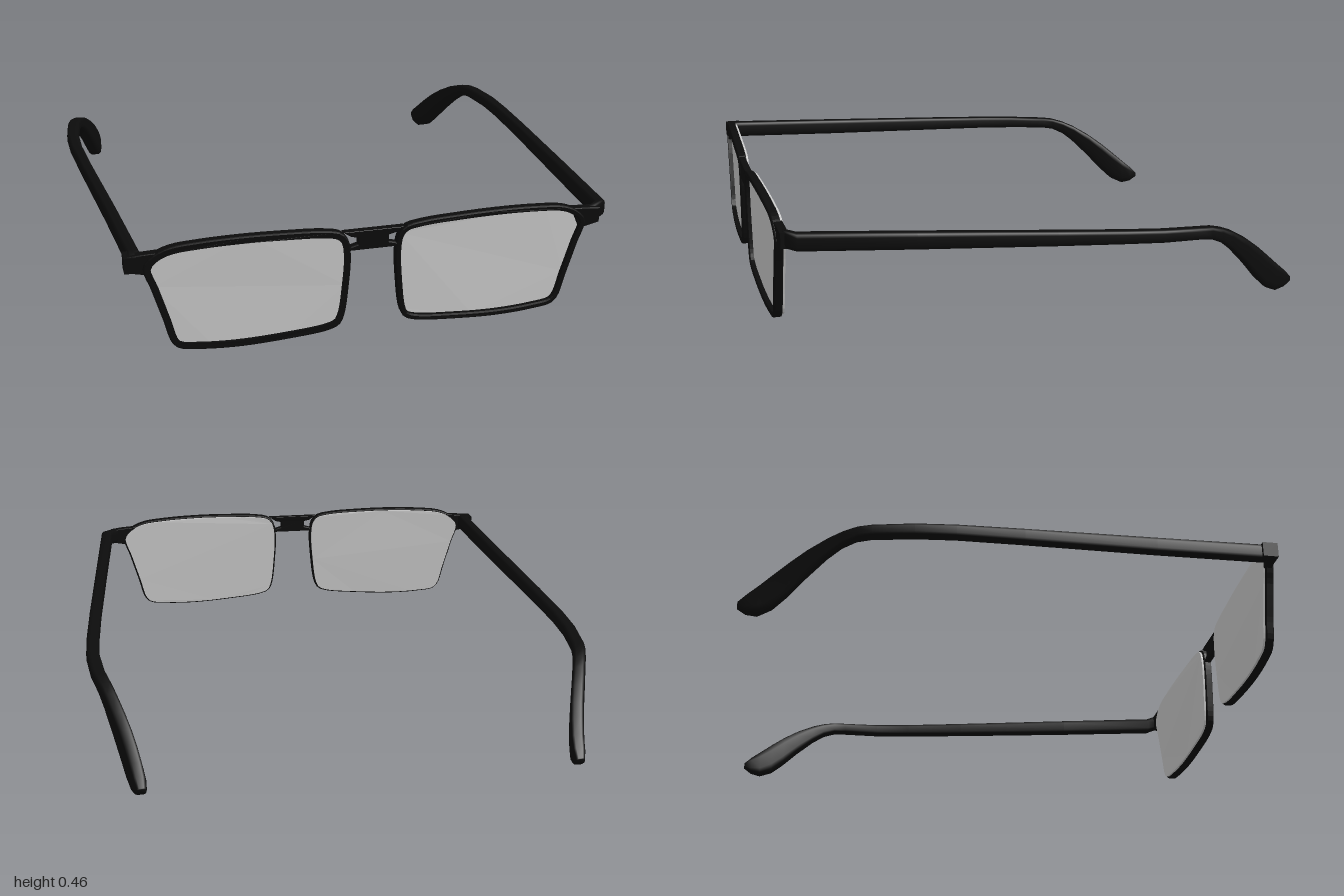
import * as THREE from 'three';

const black = new THREE.MeshStandardMaterial({ color: 0x0c0c0c, roughness: 0.9, side: THREE.DoubleSide });
const grey = new THREE.MeshStandardMaterial({ color: 0xcccccc, side: THREE.DoubleSide });

// Outer outline of the rim on the +x side, counter-clockwise
const RIM = [
  [0.07, 0.35], [0.076, 0.23], [0.092, 0.11], [0.108, 0.077], [0.145, 0.06], [0.3, 0.042], [0.47, 0.033],
  [0.6, 0.038], [0.68, 0.05], [0.704, 0.075], [0.73, 0.165], [0.765, 0.285], [0.79, 0.375], [0.755, 0.418],
  [0.7, 0.443], [0.6, 0.455], [0.45, 0.461], [0.3, 0.459], [0.17, 0.452], [0.105, 0.438], [0.08, 0.41],
];

// Temple stations: z, top, bottom, x on the right, x on the left, half width
const TEMPLE = [
  [0.95, 0.42, 0.357, -0.838, 0.82, 0.024],
  [0.91, 0.42, 0.355, -0.838, 0.868, 0.024],
  [0.5, 0.395, 0.332, -0.872, 0.892, 0.023],
  [0, 0.362, 0.307, -0.918, 0.92, 0.023],
  [-0.25, 0.345, 0.295, -0.938, 0.93, 0.024],
  [-0.4, 0.335, 0.287, -0.94, 0.93, 0.025],
  [-0.55, 0.325, 0.28, -0.925, 0.912, 0.026],
  [-0.6, 0.32, 0.273, -0.914, 0.9, 0.026],
  [-0.65, 0.306, 0.25, -0.899, 0.884, 0.026],
  [-0.7, 0.285, 0.21, -0.882, 0.867, 0.026],
  [-0.77, 0.244, 0.14, -0.858, 0.842, 0.027],
  [-0.83, 0.2, 0.073, -0.838, 0.82, 0.027],
  [-0.88, 0.158, 0.026, -0.824, 0.804, 0.027],
  [-0.93, 0.114, 0.003, -0.812, 0.79, 0.026],
  [-0.97, 0.08, 0.01, -0.806, 0.781, 0.024],
  [-1, 0.05, 0.03, -0.803, 0.776, 0.016],
];

// The frame front curves gently backwards towards its ends
function bend(geo) {
  const p = geo.attributes.position;
  for (let i = 0; i < p.count; i++) {
    p.setZ(i, p.getZ(i) - 0.022 * (p.getX(i) / 0.8) ** 2);
  }
  geo.computeVertexNormals();
  return geo;
}

function smoothLoop(points, n) {
  const curve = new THREE.CatmullRomCurve3(points.map(([x, y]) => new THREE.Vector3(x, y, 0)), true);
  return curve.getSpacedPoints(n).slice(0, n).map((v) => new THREE.Vector2(v.x, v.y));
}

// Moves a counter-clockwise loop inwards
function inset(loop, d) {
  const n = loop.length;
  return loop.map((p, i) => {
    const t = loop[(i + 1) % n].clone().sub(loop[(i + n - 1) % n]).normalize();
    return new THREE.Vector2(p.x - t.y * d, p.y + t.x * d);
  });
}

// The frame's mirror line lies slightly off the centre
const mirror = (loop) => loop.map((p) => new THREE.Vector2(-0.022 - p.x, p.y));

function slab(outline, hole, z, depth, bevel) {
  const shape = new THREE.Shape(outline);
  if (hole) shape.holes.push(new THREE.Path(hole));
  const geo = new THREE.ExtrudeGeometry(shape, {
    depth: depth - 2 * bevel, bevelEnabled: bevel > 0, bevelThickness: bevel,
    bevelSize: bevel, bevelOffset: -bevel, bevelSegments: 2,
  });
  return bend(geo.translate(0, 0, z + bevel));
}

// Rounded bar lofted through the temple stations
function templeGeometry(column) {
  const sides = 12, pos = [], index = [];
  for (const s of TEMPLE) {
    const cy = (s[1] + s[2]) / 2, h = (s[1] - s[2]) / 2;
    for (let j = 0; j < sides; j++) {
      const a = ((j + 0.5) / sides) * Math.PI * 2;
      const round = (v) => Math.sign(v) * Math.min(1, Math.abs(v) ** 0.5);
      pos.push(s[column] + s[5] * round(Math.cos(a)), cy + h * round(Math.sin(a)), s[0]);
    }
  }
  const last = (TEMPLE.length - 1) * sides;
  for (let i = 0; i < last; i += sides) {
    for (let j = 0; j < sides; j++) {
      const a = i + j, b = i + ((j + 1) % sides);
      index.push(a, a + sides, b, b, a + sides, b + sides);
    }
  }
  for (let j = 1; j < sides - 1; j++) {
    index.push(0, j, j + 1, last, last + j + 1, last + j);
  }
  const geo = new THREE.BufferGeometry();
  geo.setAttribute('position', new THREE.Float32BufferAttribute(pos, 3));
  geo.setIndex(index);
  geo.computeVertexNormals();
  return geo;
}

export function createModel() {
  const group = new THREE.Group();
  const add = (name, geo, material) => {
    const mesh = new THREE.Mesh(geo, material);
    mesh.name = name;
    group.add(mesh);
  };

  // Rims and lenses
  const outer = smoothLoop(RIM, 96);
  const inner = inset(outer, 0.021);
  const lens = inset(outer, 0.008);
  add('leftRim', slab(outer, inner, 0.962, 0.032, 0.005), black);
  add('rightRim', slab(mirror(outer), mirror(inner), 0.962, 0.032, 0.005), black);
  add('leftLens', slab(lens, null, 0.954, 0.022, 0), grey);
  add('rightLens', slab(mirror(lens), null, 0.954, 0.022, 0), grey);

  // Bridge, flared where it meets the rims
  const half = [[0.09, 0.365], [0.07, 0.38], [0.045, 0.387], [0.045, 0.412], [0.07, 0.418], [0.1, 0.438]]
    .map(([x, y]) => new THREE.Vector2(x, y));
  add('bridge', slab([...half, ...mirror(half).reverse()], null, 0.966, 0.026, 0.004), black);

  // End pieces that carry the hinges
  const endPiece = [[0.735, 0.425], [0.768, 0.35], [0.785, 0.345], [0.848, 0.358], [0.848, 0.415], [0.8, 0.421]]
    .map(([x, y]) => new THREE.Vector2(x, y));
  add('leftEndPiece', slab(endPiece, null, 0.956, 0.032, 0.003), black);
  add('rightEndPiece', slab(mirror(endPiece), null, 0.956, 0.032, 0.003), black);
  const hinge = new THREE.BoxGeometry(0.05, 0.058, 0.058);
  add('rightHinge', hinge.translate(-0.85, 0.387, 0.94), black);

  // Temples with drooping ear tips
  add('leftTemple', templeGeometry(4), black);
  add('rightTemple', templeGeometry(3), black);
  return group;
}
